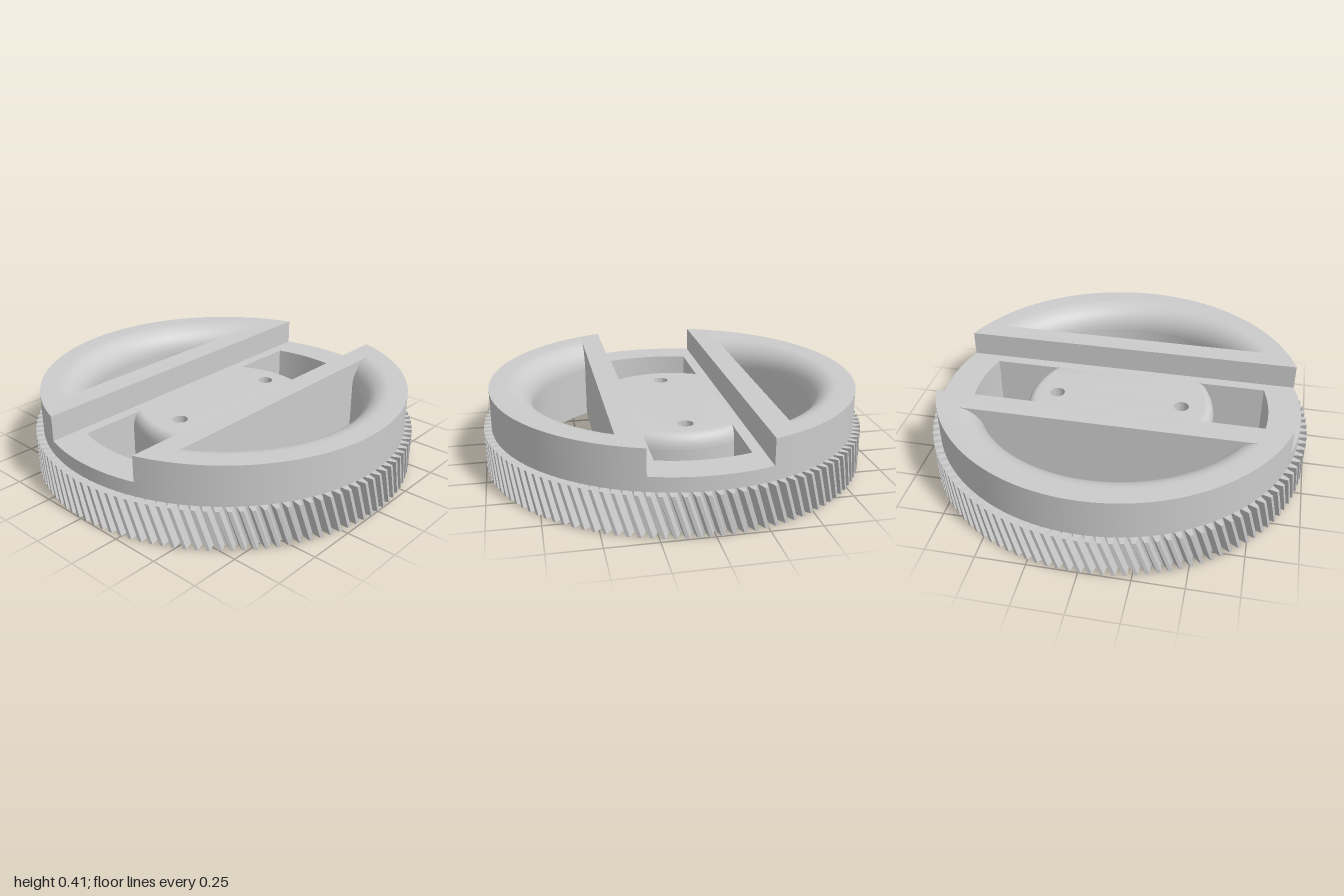
import * as THREE from 'three';
import { toCreasedNormals } from 'three/addons/utils/BufferGeometryUtils.js';

const GEAR_TOP = 0.206, FLOOR = 0.28, TOP = 0.413;
const BAR = 0.408;        // half width of the solid bridge between the large openings
const WINDOW = 0.23, WINDOW_Z = 0.005;  // half width and centre of the side windows
const OPEN_R = 0.74, OPEN_FLARE = 0.125;
const HUB_R = 0.505, HUB_ROUND = 0.05;
const TEETH = 118, TWIST = -0.066;

const material = new THREE.MeshStandardMaterial({ color: 0xcccccc });
const P = (x, y) => new THREE.Vector2(x, y);

function circle(r, x = 0, n = 40) {
  return Array.from({ length: n }, (_, i) => {
    const a = (i / n) * Math.PI * 2;
    return P(x + r * Math.cos(a), r * Math.sin(a));
  });
}

// circle segment beyond the line y = cut on side s, wound counter-clockwise
function segment(r, cut, s, n = 64) {
  const half = Math.acos(cut / r);
  return Array.from({ length: n + 1 }, (_, i) => {
    const a = half * (1 - 2 * i / n);
    return P(s * r * Math.sin(a), s * r * Math.cos(a));
  });
}

// side window between the round hub and the rim
function sideWindow(hubR, s, n = 20) {
  const pts = [];
  for (const [r, dir] of [[0.79, 1], [hubR, -1]]) {
    for (let i = 0; i <= n; i++) {
      const y = dir * WINDOW * (2 * i / n - 1) - WINDOW_Z;
      pts.push(P(s * Math.sqrt(r * r - y * y), y));
    }
  }
  return pts;
}

// vertical layer from y0 to y1; rule(v, t) may move vertices, t = 0 below, 1 above
function layer(name, outline, holes, y0, y1, steps = 1, rule = null, crease = 0.5) {
  const shape = new THREE.Shape(outline);
  shape.holes = holes.map(h => new THREE.Path(h));
  const geo = new THREE.ExtrudeGeometry(shape, { depth: 1, steps, bevelEnabled: false });
  const pos = geo.attributes.position;
  const v = new THREE.Vector3();
  for (let i = 0; i < pos.count; i++) {
    v.fromBufferAttribute(pos, i);
    if (rule) rule(v, v.z);
    pos.setXYZ(i, v.x, y0 + v.z * (y1 - y0), -v.y);
  }
  geo.deleteAttribute('normal');
  geo.deleteAttribute('uv');
  const mesh = new THREE.Mesh(toCreasedNormals(geo, crease), material);
  mesh.name = name;
  return mesh;
}

function toothOutline() {
  const pts = [];
  const profile = [[0, 0.952], [0.22, 0.952], [0.45, 1], [0.77, 1]];
  for (let i = 0; i < TEETH; i++) {
    for (const [f, r] of profile) {
      const a = ((i + f) / TEETH) * Math.PI * 2;
      pts.push(P(r * Math.cos(a), r * Math.sin(a)));
    }
  }
  return pts;
}

export function createModel() {
  const group = new THREE.Group();
  group.name = 'gearWheel';

  // helical teeth
  const twist = (v, t) => {
    const a = TWIST * t, x = v.x, y = v.y;
    v.x = x * Math.cos(a) - y * Math.sin(a);
    v.y = x * Math.sin(a) + y * Math.cos(a);
  };
  group.add(layer('helicalTeeth', toothOutline(), [circle(0.93, 0, 128)], 0, GEAR_TOP, 4, twist, 0.3));

  // web with openings, central socket and counterbored screw holes
  const openings = [1, -1].map(s => segment(OPEN_R, BAR, s));
  const windows = r => [1, -1].map(s => sideWindow(r, s));
  const screwHoles = r => [0.347, -0.333].map(x => circle(r, x));
  const socket = circle(0.168, 0, 64);
  const rim = r => circle(r, 0, 160);
  group.add(layer('lowerWeb', rim(0.945), [...openings, ...windows(HUB_R), ...screwHoles(0.098), socket], 0, 0.09));
  group.add(layer('middleWeb', rim(0.945), [...openings, ...windows(HUB_R), ...screwHoles(0.04), socket], 0.09, GEAR_TOP));

  // channel floor, with the hub edge rounded over into the windows
  const hubTop = HUB_R - HUB_ROUND;
  const roundHub = (v, t) => {
    const a = t * Math.PI / 2;
    if (Math.abs(Math.hypot(v.x, v.y) - hubTop) < 1e-4) {
      const r = HUB_R - HUB_ROUND * (1 - Math.cos(a));
      v.x = Math.sign(v.x) * Math.sqrt(r * r - v.y * v.y);
    }
    v.z = Math.sin(a);
  };
  group.add(layer('channelFloor', rim(0.96), [...openings, ...windows(hubTop), ...screwHoles(0.04)],
    GEAR_TOP, FLOOR, 8, roundHub));

  // raised halves, with the large openings flared at the top
  const flareTop = OPEN_R + OPEN_FLARE;
  const topHalf = Math.acos(BAR / flareTop);
  const flare = (v, t) => {
    const a = t * Math.PI / 2;
    if (Math.abs(Math.hypot(v.x, v.y) - flareTop) < 1e-4) {
      const s = Math.sign(v.y);
      const r = OPEN_R + OPEN_FLARE * (1 - Math.cos(a));
      const phi = Math.atan2(v.x, Math.abs(v.y)) * Math.acos(BAR / r) / topHalf;
      v.x = r * Math.sin(phi);
      v.y = s * r * Math.cos(phi);
    }
    v.z = Math.sin(a);
  };
  for (const [name, s, cut] of [['backRaisedHalf', 1, 0.283], ['frontRaisedHalf', -1, 0.294]]) {
    group.add(layer(name, segment(0.96, cut, s), [segment(flareTop, BAR, s)], FLOOR, TOP, 12, flare));
  }
  return group;
}
